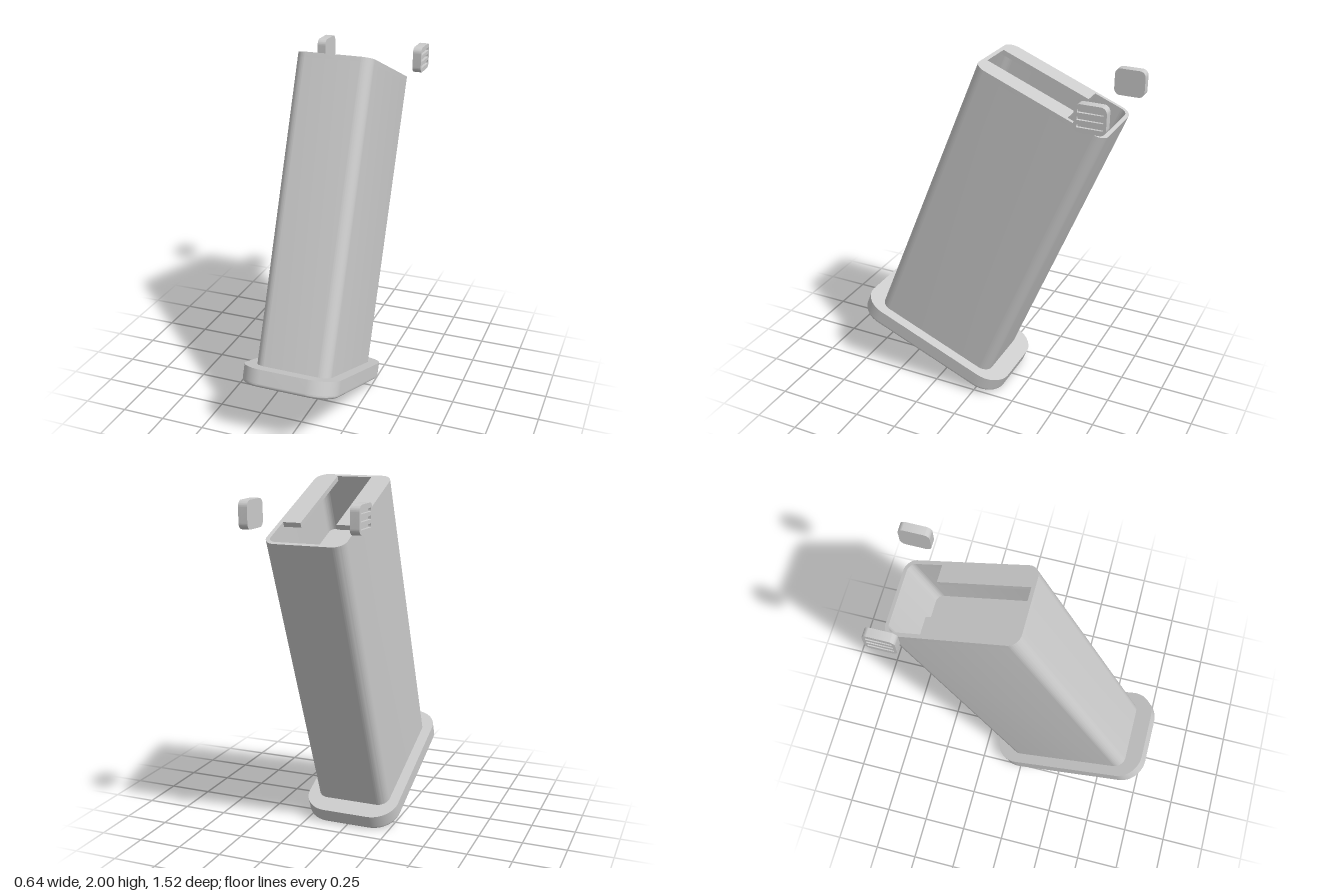
import * as THREE from 'three';
import { toCreasedNormals } from 'three/addons/utils/BufferGeometryUtils.js';

const grey = new THREE.MeshStandardMaterial({ color: 0xcccccc });
grey.name = 'plain grey';

// Traces a rounded rectangle centred on (cx, cy) into a Shape or Path
function roundedRect(path, w, h, r, cx = 0, cy = 0) {
  const x = w / 2 - r, y = h / 2 - r;
  path.absarc(cx + x, cy + y, r, 0, Math.PI / 2);
  path.absarc(cx - x, cy + y, r, Math.PI / 2, Math.PI);
  path.absarc(cx - x, cy - y, r, Math.PI, Math.PI * 1.5);
  path.absarc(cx + x, cy - y, r, Math.PI * 1.5, Math.PI * 2);
  path.closePath();
  return path;
}

function extrude(shape, depth, options = {}) {
  return new THREE.ExtrudeGeometry(shape, { depth, bevelEnabled: false, curveSegments: 10, ...options });
}

function addMesh(parent, name, geometry) {
  const mesh = new THREE.Mesh(toCreasedNormals(geometry, 0.5), grey);
  mesh.name = name;
  parent.add(mesh);
  return mesh;
}

// Extrudes a plan shape (x, -depth) upwards from height y
function addUpright(parent, name, shape, y, height, options) {
  const geometry = extrude(shape, height, options);
  geometry.rotateX(-Math.PI / 2);
  geometry.translate(0, y, 0);
  return addMesh(parent, name, geometry);
}

export function createModel() {
  const model = new THREE.Group();
  model.name = 'model';

  // Everything but the buttons leans back together
  const leaning = new THREE.Group();
  leaning.name = 'leaningBody';
  leaning.rotation.x = THREE.MathUtils.degToRad(-22);
  model.add(leaning);

  const mid = -0.365, top = 1.855, lip = 0.027, baseTop = 0.145;
  const outer = () => roundedRect(new THREE.Shape(), 0.434, 0.768, 0.065, 0, mid);

  // Hollow tube
  const tube = outer();
  tube.holes.push(roundedRect(new THREE.Path(), 0.39, 0.726, 0.043, 0, mid));
  addUpright(leaning, 'tube', tube, baseTop, top - lip - baseTop);

  // Top rim with two lips beside a narrow slot, fully open at the back
  const rim = outer();
  const opening = new THREE.Path();
  opening.moveTo(-0.195, -0.2);
  opening.lineTo(-0.098, -0.2);
  opening.lineTo(-0.098, -0.728);
  opening.lineTo(0.098, -0.728);
  opening.lineTo(0.098, -0.2);
  opening.lineTo(0.195, -0.2);
  opening.absarc(0.152, -0.045, 0.043, 0, Math.PI / 2);
  opening.absarc(-0.152, -0.045, 0.043, Math.PI / 2, Math.PI);
  opening.closePath();
  rim.holes.push(opening);
  addUpright(leaning, 'topLips', rim, top - lip, lip);

  // Platform inside the tube
  addUpright(leaning, 'innerPlatform',
    roundedRect(new THREE.Shape(), 0.37, 0.71, 0.035, 0, mid), 1.45, 0.08);

  // Base plate with a softened lower edge
  const base = new THREE.Group();
  base.name = 'basePlate';
  leaning.add(base);
  const plan = () => roundedRect(new THREE.Shape(), 0.554, 0.974, 0.145, 0, -0.363);
  addUpright(base, 'baseSlab', plan(), 0.068, baseTop - 0.068);
  addUpright(base, 'baseLowerEdge', plan(), 0.068, 0.001,
    { bevelEnabled: true, bevelSize: 0.02, bevelOffset: -0.02, bevelThickness: 0.02, bevelSegments: 4 });

  // Pair of separate side buttons, grooved on their outer faces
  for (const side of [1, -1]) {
    const button = new THREE.Group();
    button.name = side > 0 ? 'leftButton' : 'rightButton';
    button.position.set(side * 0.27, 1.852, -0.671);
    button.rotation.y = side * Math.PI / 2;
    model.add(button);

    const outline = () => roundedRect(new THREE.Shape(), 0.168, 0.146, 0.033);
    addMesh(button, 'buttonBack', extrude(outline(), 0.034));

    const face = outline();
    for (const y of [-0.038, 0, 0.038]) {
      face.holes.push(roundedRect(new THREE.Path(), 0.136, 0.018, 0.003, 0, y));
    }
    addMesh(button, 'buttonGrooves', extrude(face, 0.015)).position.z = 0.034;
  }
  return model;
}
